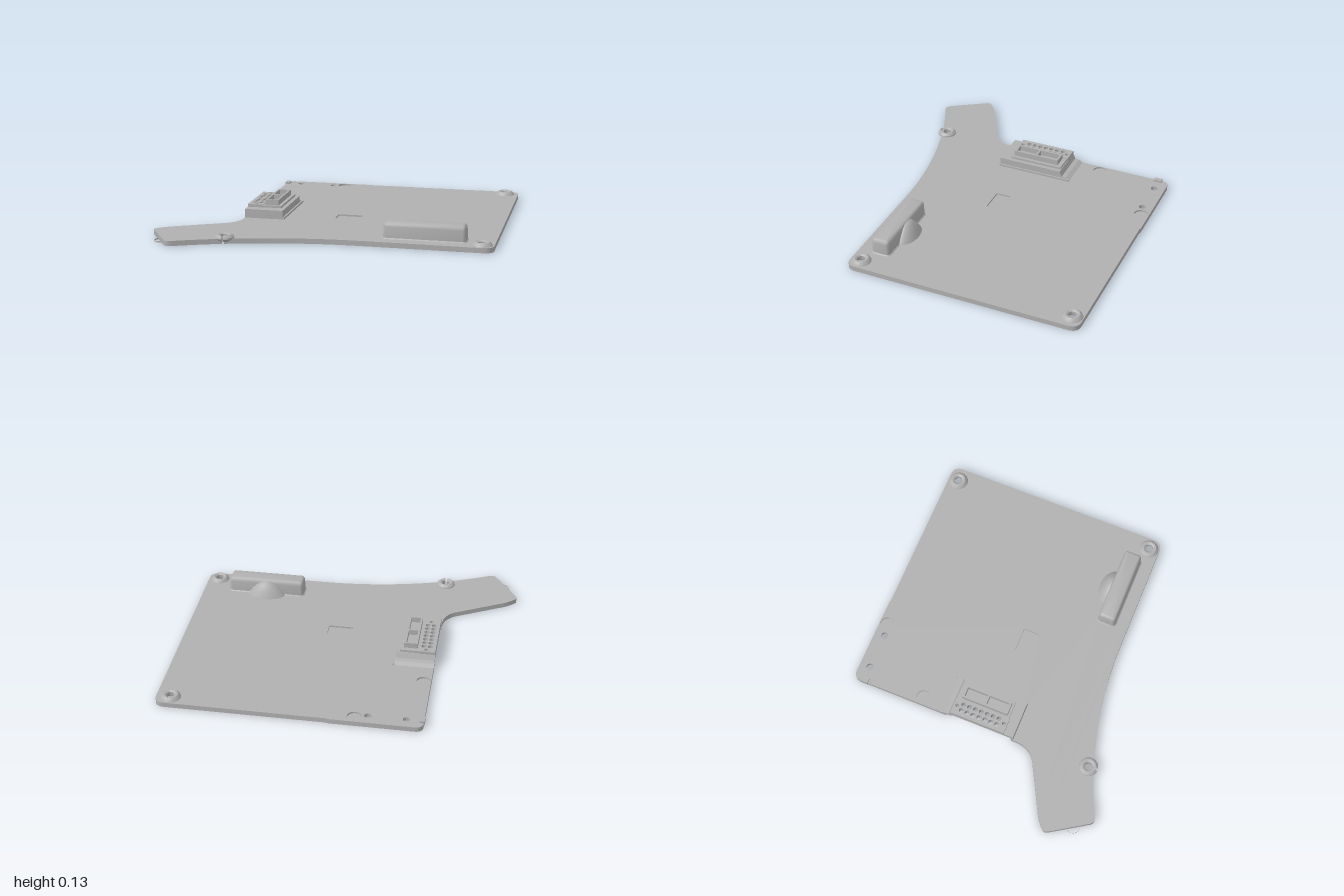
import * as THREE from 'three';
import { toCreasedNormals } from 'three/addons/utils/BufferGeometryUtils.js';

const grey = new THREE.MeshStandardMaterial({ color: 0xb0b0b0, side: THREE.DoubleSide });
grey.name = 'grey';

const TOP = 0.03;

function add(group, name, geometry) {
  const mesh = new THREE.Mesh(geometry, grey);
  mesh.name = name;
  group.add(mesh);
  return mesh;
}

// Slab cut from a plan drawn in x and z, between two heights
function slab(shape, y0, y1) {
  const g = new THREE.ExtrudeGeometry(shape, { depth: y1 - y0, bevelEnabled: false, curveSegments: 20 });
  g.rotateX(Math.PI / 2).translate(0, y1, 0);
  return toCreasedNormals(g, 0.5);
}

// Side profile given as [z, y] pairs, swept along x
function sweepX(profile, x0, x1) {
  const shape = new THREE.Shape(profile.map(([z, y]) => new THREE.Vector2(-z, y)));
  const g = new THREE.ExtrudeGeometry(shape, { depth: x1 - x0, bevelEnabled: false });
  return g.rotateY(Math.PI / 2).translate(x0, 0, 0);
}

function box(x0, x1, y0, y1, z0, z1) {
  return new THREE.BoxGeometry(x1 - x0, y1 - y0, z1 - z0)
    .translate((x0 + x1) / 2, (y0 + y1) / 2, (z0 + z1) / 2);
}

function rect(x0, x1, z0, z1, Kind = THREE.Path) {
  return new Kind([[x0, z0], [x1, z0], [x1, z1], [x0, z1]].map(p => new THREE.Vector2(...p)));
}

function circle(x, z, r) {
  return new THREE.Path().absarc(x, z, r, 0, Math.PI * 2, true);
}

// Plate plan: square panel, swept arm, connector notch and a slit at the arm screw
function plateOutline() {
  const s = new THREE.Shape();
  s.moveTo(-0.505, -0.845);
  s.lineTo(-0.02, -0.845);
  s.lineTo(0, -0.84);
  s.lineTo(0.94, -0.84);
  s.quadraticCurveTo(1, -0.84, 1, -0.78);
  s.lineTo(1, 0.53);
  s.quadraticCurveTo(1, 0.59, 0.94, 0.59);
  s.lineTo(0.2, 0.59);
  s.quadraticCurveTo(-0.17, 0.598, -0.528, 0.716);
  s.absarc(-0.535, 0.685, 0.026, Math.PI / 2 - 0.25, Math.PI / 2 + 0.25, true);
  s.lineTo(-0.542, 0.72);
  s.quadraticCurveTo(-0.69, 0.773, -0.81, 0.832);
  s.quadraticCurveTo(-0.84, 0.845, -0.857, 0.815);
  s.lineTo(-0.993, 0.605);
  s.quadraticCurveTo(-1.005, 0.58, -0.985, 0.567);
  s.quadraticCurveTo(-0.95, 0.53, -0.91, 0.51);
  s.lineTo(-0.64, 0.367);
  s.quadraticCurveTo(-0.555, 0.325, -0.555, 0.22);
  s.lineTo(-0.555, 0.195);
  s.lineTo(-0.335, 0.195);
  s.lineTo(-0.335, -0.235);
  s.lineTo(-0.555, -0.235);
  s.lineTo(-0.555, -0.795);
  s.quadraticCurveTo(-0.555, -0.845, -0.505, -0.845);
  return s;
}

const cornerScrews = [[0.915, -0.775], [0.93, 0.525]];
const pinHoles = [[-0.455, -0.78], [-0.235, -0.78]];

function bumpOpening() {
  const p = new THREE.Path();
  p.moveTo(0.365, 0.5);
  p.lineTo(0.825, 0.5);
  p.lineTo(0.825, 0.4);
  p.lineTo(0.695, 0.4);
  p.absellipse(0.59, 0.4, 0.105, 0.06, 0, -Math.PI, true);
  p.lineTo(0.365, 0.4);
  p.closePath();
  return p;
}

// Plate in three layers, so that shallow recesses open on one side only
function addPlate(group) {
  const layer = (name, y0, y1, holes) => {
    const s = plateOutline();
    s.holes.push(bumpOpening(), ...cornerScrews.map(([x, z]) => circle(x, z, 0.048)), ...holes);
    add(group, name, slab(s, y0, y1));
  };
  const through = () => pinHoles.map(([x, z]) => circle(x, z, 0.021));
  layer('plateUnderside', 0, 0.008, [
    ...pinHoles.map(([x, z]) => circle(x, z, 0.036)),
    circle(-0.355, -0.76, 0.042), circle(-0.9, 0.73, 0.042)]);
  layer('plateCore', 0.008, 0.02, through());
  layer('plateTop', 0.02, TOP, [...through(),
    circle(-0.16, -0.797, 0.043), circle(-0.51, -0.4, 0.042),
    rect(-0.017, 0.133, 0, 0.093)]);
  add(group, 'edgeHook', box(-0.56, -0.53, 0.012, 0.042, -0.8, -0.75));
}

// Raised conical screw seats, hollow below
function addScrewSeats(group) {
  const ring = pts => pts.map(p => new THREE.Vector2(...p));
  const profile = ring([[0.048, 0], [0.06, TOP], [0.056, 0.038], [0.043, 0.05], [0.034, 0.05],
    [0.024, 0.043], [0.024, 0.022], [0.036, 0.016], [0.048, 0]]);
  profile[0].x = 0.05;
  for (const [x, z] of cornerScrews) {
    add(group, 'screwSeat', toCreasedNormals(new THREE.LatheGeometry(profile, 32), 0.4)).position.set(x, 0, z);
  }
  const armProfile = ring([[0.024, 0.01], [0.034, 0.01], [0.058, TOP], [0.056, 0.038], [0.043, 0.05],
    [0.034, 0.05], [0.024, 0.043], [0.024, 0.01]]);
  add(group, 'armScrewSeat', toCreasedNormals(
    new THREE.LatheGeometry(armProfile, 32, 0.15, Math.PI * 2 - 0.3), 0.4)).position.set(-0.535, 0, 0.685);
}

// Hollow rounded shell made of stacked rounded rectangles, with a cap
function roundedShell(cx, cz, hx, hz, r, rings) {
  const pos = [], index = [], n = 28;
  for (const [inset, y] of rings) {
    for (let i = 0; i < n; i++) {
      const k = Math.floor(i / 7), a = (k + (i % 7) / 6) * Math.PI / 2;
      const sx = k === 0 || k === 3 ? 1 : -1, sz = k < 2 ? 1 : -1, q = Math.max(r - inset, 0.004);
      pos.push(cx + sx * (hx - inset - q) + q * Math.cos(a), y, cz + sz * (hz - inset - q) + q * Math.sin(a));
    }
  }
  for (let j = 0; j < rings.length - 1; j++) {
    for (let i = 0; i < n; i++) {
      const a = j * n + i, b = j * n + (i + 1) % n;
      index.push(a, a + n, b, b, a + n, b + n);
    }
  }
  const last = (rings.length - 1) * n;
  pos.push(cx, rings[rings.length - 1][1], cz);
  for (let i = 0; i < n; i++) index.push(last + i, last + n, last + (i + 1) % n);
  const g = new THREE.BufferGeometry();
  g.setAttribute('position', new THREE.Float32BufferAttribute(pos, 3));
  g.setIndex(index);
  return toCreasedNormals(g, 0.7);
}

function addBump(group) {
  add(group, 'raisedBump', roundedShell(0.595, 0.453, 0.243, 0.06, 0.025, [
    [-0.003, TOP], [0.003, 0.036], [0.006, 0.1], [0.009, 0.114], [0.016, 0.122], [0.025, 0.125]]));
  // Half-round rib leaning on the back of the bump
  const rib = [[0.118, TOP], [0.092, 0.066], [0.055, 0.103], [0.025, 0.118], [0, 0.121]]
    .map(p => new THREE.Vector2(...p));
  const g = new THREE.LatheGeometry(rib, 32, Math.PI / 2, Math.PI);
  g.scale(1, 1, 0.62).translate(0.59, 0, 0.4);
  add(group, 'bumpRib', g);
}

// Lifted bridge at the edge, carrying a pin strip and an open socket
function addConnector(group) {
  const c = new THREE.Group();
  c.name = 'connector';
  group.add(c);
  const x0 = -0.555, x1 = -0.335, deck = 0.083;
  add(c, 'bridgeFrontWall', sweepX([[0.205, 0.012], [0.205, deck], [0.19, deck], [0.19, 0.012]], x0, x1));
  add(c, 'bridgeBackRamp', sweepX([[-0.2, deck], [-0.215, 0.05], [-0.24, 0.045], [-0.265, TOP],
    [-0.24, 0.012], [-0.225, 0.025], [-0.2, 0.035], [-0.185, 0.055], [-0.185, deck]], x0, x1));
  add(c, 'bridgeSideWall', sweepX([[0.205, 0.012], [0.205, deck], [-0.2, deck], [-0.215, 0.05],
    [-0.24, 0.045], [-0.265, TOP], [-0.24, 0.012]], x1, -0.32));
  add(c, 'bridgeFoot', box(-0.32, -0.31, TOP, 0.042, -0.265, 0.205));

  const holes = () => {
    const list = [circle(-0.5, -0.178, 0.012), circle(-0.5, 0.125, 0.012)];
    for (let i = 0; i < 7; i++) {
      for (const x of [-0.52, -0.482]) list.push(circle(x, -0.143 + i * 0.0383, 0.015));
    }
    return list;
  };
  const top = rect(x0, x1, -0.19, 0.195, THREE.Shape);
  top.holes.push(...holes());
  add(c, 'bridgeDeck', slab(top, 0.055, deck));
  const strip = rect(x0, -0.457, -0.2, 0.145, THREE.Shape);
  strip.holes.push(...holes());
  add(c, 'pinStrip', slab(strip, deck, 0.1));

  add(c, 'socketBase', box(-0.457, -0.345, deck, 0.096, -0.195, 0.14));
  const frame = rect(-0.446, -0.365, -0.168, 0.125, THREE.Shape);
  frame.holes.push(rect(-0.434, -0.377, -0.156, -0.027), rect(-0.434, -0.377, -0.015, 0.113));
  add(c, 'socketFrame', slab(frame, 0.096, 0.13));
}

export function createModel() {
  const model = new THREE.Group();
  model.name = 'coverPlate';
  addPlate(model);
  addScrewSeats(model);
  addBump(model);
  addConnector(model);
  return model;
}
